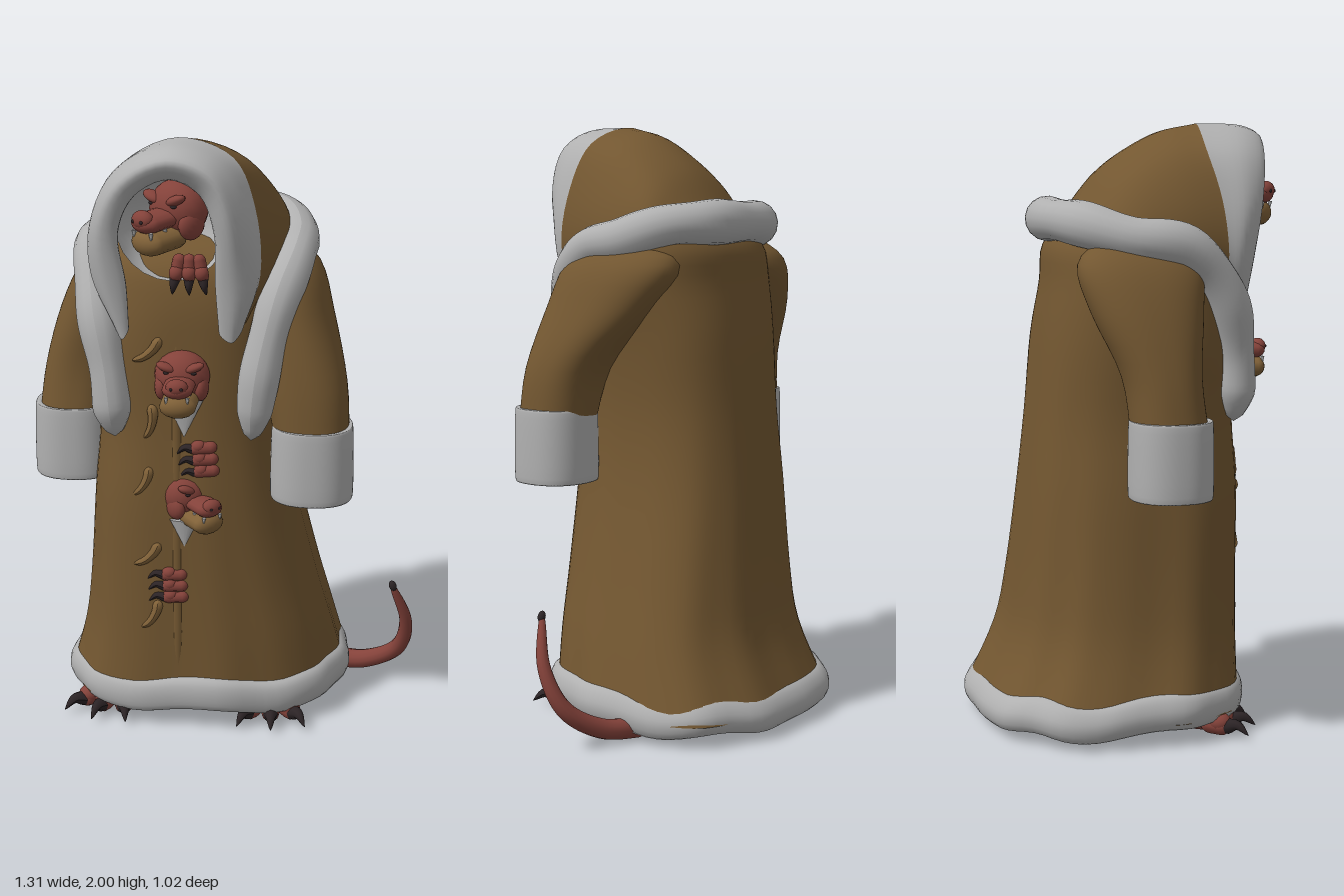
import * as THREE from 'three';

const mat = (name, color, side = THREE.FrontSide) => {
  const m = new THREE.MeshStandardMaterial({ color, side });
  m.name = name;
  return m;
};
const V = (x, y, z) => new THREE.Vector3(x, y, z);

export function createModel() {
  const root = new THREE.Group();
  const cloth = mat('brown cloth', 0x735731, THREE.DoubleSide);
  const fur = mat('pale fur', 0xb0b0b0, THREE.DoubleSide);
  const skin = mat('red skin', 0x84423a);
  const horn = mat('tan horn', 0x806138);
  const claw = mat('dark claw', 0x2c2426);

  const add = (parent, name, geo, material, p = [0, 0, 0], s = [1, 1, 1], r = [0, 0, 0]) => {
    const m = new THREE.Mesh(geo, material);
    m.name = name;
    m.position.set(...p);
    m.scale.set(...s);
    m.rotation.set(...r);
    parent.add(m);
    return m;
  };
  const ball = new THREE.SphereGeometry(1, 18, 12);

  // Smooth skin over cross-sections
  const loft = (rings, closed, sub = 4) => {
    const n = rings[0].length, rows = (rings.length - 1) * sub;
    const cols = rings[0].map((_, j) =>
      new THREE.CatmullRomCurve3(rings.map(r => r[j]), false, 'catmullrom', 0.5).getPoints(rows));
    const pos = [], idx = [];
    for (let i = 0; i <= rows; i++) for (let j = 0; j < n; j++) pos.push(...cols[j][i].toArray());
    for (let i = 0; i < rows; i++) for (let j = 0; j < (closed ? n : n - 1); j++) {
      const k = (j + 1) % n, a = i * n + j, b = a + n, c = i * n + k, d = c + n;
      idx.push(a, b, c, c, b, d);
    }
    const g = new THREE.BufferGeometry();
    g.setAttribute('position', new THREE.Float32BufferAttribute(pos, 3));
    g.setIndex(idx);
    g.computeVertexNormals();
    return g;
  };

  // Rounded horizontal ring from [y, xMin, xMax, zBack, zFront];
  // skew pushes out the back-left and front-right corners
  const E = 2.3;
  const ring = ([y, x0, x1, z0, z1], fold = 0, wave = 0, skew = 0) => Array.from({ length: 72 }, (_, j) => {
    const a = j / 72 * Math.PI * 2, c = Math.cos(a), s = Math.sin(a);
    const k = 1 + fold * (Math.sin(a * 9 + 1) + 0.6 * Math.sin(a * 14)) + skew * Math.max(0, -Math.sin(2 * a)) ** 1.5;
    const pw = v => Math.sign(v) * Math.abs(v) ** (2 / E) * k;
    return V((x0 + x1) / 2 + pw(c) * (x1 - x0) / 2,
      y + wave * (Math.sin(a * 5) + 0.6 * Math.sin(a * 8 + 2) + 2 * s),
      (z0 + z1) / 2 + pw(s) * (z1 - z0) / 2);
  });

  // Tapered tube along a path
  const taper = (pts, radius, seg = 40, rad = 12) => {
    const curve = new THREE.CatmullRomCurve3(pts.map(p => V(...p)));
    const g = new THREE.TubeGeometry(curve, seg, 1, rad, false);
    const p = g.attributes.position, v = V(0, 0, 0);
    for (let i = 0; i < p.count; i++) {
      const t = Math.floor(i / (rad + 1)) / seg, c = curve.getPointAt(t);
      v.fromBufferAttribute(p, i).sub(c).multiplyScalar(radius(t)).add(c);
      p.setXYZ(i, v.x, v.y, v.z);
    }
    g.computeVertexNormals();
    return g;
  };
  const blunt = (t, k = 25) => Math.sqrt(Math.max(0, Math.min(1, t * k, (1 - t) * k)));

  // Robe
  const body = [
    [0.08, -0.535, 0.415, -0.49, 0.36], [0.3, -0.475, 0.36, -0.395, 0.36], [0.5, -0.45, 0.305, -0.36, 0.36],
    [0.8, -0.43, 0.235, -0.33, 0.36], [1.05, -0.41, 0.21, -0.305, 0.345], [1.3, -0.43, 0.23, -0.28, 0.34],
    [1.48, -0.44, 0.27, -0.255, 0.335], [1.6, -0.41, 0.265, -0.24, 0.30], [1.67, -0.33, 0.2, -0.16, 0.2],
    [1.69, -0.07, -0.07, 0.02, 0.02]];
  add(root, 'robe', loft(body.map(b =>
    ring(b, 0.014 * Math.max(0, 1 - b[0] / 1.3), 0, b[0] < 1.4 ? 0.1 : 0.03)), true), cloth);
  const frontZ = (x, y) => {
    let i = 0;
    while (i < body.length - 2 && body[i + 1][0] < y) i++;
    const [, x0, x1, z0, z1] = body[i].map((v, k) =>
      THREE.MathUtils.lerp(v, body[i + 1][k], (y - body[i][0]) / (body[i + 1][0] - body[i][0])));
    const u = Math.abs((x - (x0 + x1) / 2) / ((x1 - x0) / 2));
    return (z0 + z1) / 2 + (z1 - z0) / 2 * Math.max(0, 1 - u ** E) ** (1 / E);
  };

  // Front seam fold
  const seam = [0.1, 0.4, 0.7, 1, 1.3, 1.56].map(y => [-0.13, y, frontZ(-0.13, y) - 0.016]);
  add(root, 'frontSeam', taper(seam, t => 0.022 * blunt(t, 6)), cloth);

  // Fur hem, closed underneath
  const hem = [
    [0.055, -0.06, -0.06, -0.05, -0.05], [0.055, -0.48, 0.37, -0.43, 0.32], [0.05, -0.53, 0.415, -0.49, 0.375],
    [0.1, -0.548, 0.43, -0.505, 0.39], [0.15, -0.53, 0.41, -0.475, 0.38], [0.172, -0.49, 0.37, -0.42, 0.34]];
  add(root, 'furHem', loft(hem.map((h, i) => ring(h, i ? 0.011 : 0, i ? 0.008 : 0, 0.06)), true), fur);

  // Sleeves and cuffs: rows are [y, centre x, centre z, radius x, radius z]
  const tubeRing = ([y, x, z, a, b]) => ring([y, x - a, x + a, z - b, z + b]);
  const arms = [
    ['right', -0.515, 0.05, [[1.2, -0.48, 0.03, 0.13, 0.125], [1.4, -0.42, 0.0, 0.135, 0.18],
      [1.55, -0.36, -0.01, 0.12, 0.2], [1.64, -0.31, -0.01, 0.06, 0.1]]],
    ['left', 0.305, 0.235, [[1.2, 0.28, 0.2, 0.135, 0.14], [1.4, 0.23, 0.095, 0.135, 0.205],
      [1.55, 0.19, 0.03, 0.125, 0.22], [1.65, 0.15, 0.03, 0.06, 0.1]]]];
  for (const [side, x, z, upper] of arms) {
    add(root, side + 'Sleeve', loft([[1.0, x, z, 0.122, 0.122], ...upper].map(tubeRing), true), cloth);
    const cuff = [[0.96, x, z, 0, 0], [0.95, x, z, 0.108, 0.108], [0.85, x, z, 0.115, 0.115],
      [0.825, x, z, 0.128, 0.124], [0.84, x, z, 0.137, 0.133], [1.04, x, z, 0.134, 0.132],
      [1.068, x, z, 0.125, 0.125], [1.06, x, z, 0.1, 0.1]];
    add(root, side + 'Cuff', loft(cuff.map(tubeRing), true), fur);
  }

  // Fur collar with hanging lapels
  add(root, 'furCollar', taper([
    [-0.335, 1.03, 0.32], [-0.355, 1.25, 0.32], [-0.395, 1.45, 0.27], [-0.42, 1.6, 0.14], [-0.395, 1.635, -0.04],
    [-0.28, 1.675, -0.17], [-0.08, 1.685, -0.22], [0.09, 1.685, -0.205], [0.185, 1.675, -0.13],
    [0.235, 1.63, 0.0], [0.235, 1.6, 0.14], [0.185, 1.47, 0.27], [0.14, 1.27, 0.315], [0.11, 1.03, 0.32]],
  t => blunt(t) * (0.06 + 0.012 * Math.sin(t * Math.PI) + 0.004 * Math.sin(t * 50)), 110, 16), fur);

  // Hood: arches from tip to tip, back to front
  const arch = a => new THREE.CatmullRomCurve3(a.map(p => V(...p))).getPoints(40);
  const edge = arch([[-0.32, 1.42, 0.29], [-0.395, 1.58, 0.28], [-0.385, 1.75, 0.26], [-0.31, 1.91, 0.23],
    [-0.13, 2.0, 0.25], [0.05, 1.945, 0.29], [0.12, 1.8, 0.325], [0.14, 1.59, 0.35], [0.085, 1.42, 0.325]]);
  add(root, 'hood', loft([
    arch([[-0.27, 1.5, -0.14], [-0.3, 1.58, -0.16], [-0.27, 1.64, -0.16], [-0.18, 1.69, -0.16],
      [-0.05, 1.72, -0.16], [0.08, 1.7, -0.16], [0.15, 1.65, -0.15], [0.2, 1.6, -0.15], [0.18, 1.5, -0.14]]),
    arch([[-0.3, 1.5, -0.04], [-0.37, 1.6, -0.05], [-0.34, 1.7, -0.05], [-0.25, 1.8, -0.05],
      [-0.07, 1.86, -0.05], [0.1, 1.82, -0.05], [0.19, 1.73, -0.05], [0.22, 1.62, -0.05], [0.2, 1.5, -0.04]]),
    arch([[-0.33, 1.45, 0.12], [-0.395, 1.6, 0.12], [-0.365, 1.76, 0.12], [-0.27, 1.9, 0.11],
      [-0.1, 1.965, 0.11], [0.08, 1.91, 0.11], [0.17, 1.78, 0.12], [0.21, 1.61, 0.12], [0.16, 1.45, 0.12]]),
    edge], false, 6), cloth);
  add(root, 'hoodFur', loft([
    edge,
    arch([[-0.32, 1.39, 0.33], [-0.4, 1.57, 0.33], [-0.4, 1.74, 0.34], [-0.32, 1.905, 0.355],
      [-0.14, 1.995, 0.4], [0.01, 1.95, 0.41], [0.095, 1.8, 0.41], [0.125, 1.57, 0.385], [0.08, 1.4, 0.35]]),
    arch([[-0.3, 1.37, 0.36], [-0.35, 1.56, 0.38], [-0.36, 1.74, 0.405], [-0.29, 1.88, 0.435],
      [-0.14, 1.955, 0.47], [-0.01, 1.91, 0.475], [0.05, 1.77, 0.465], [0.06, 1.56, 0.41], [0.05, 1.37, 0.37]]),
    arch([[-0.28, 1.4, 0.35], [-0.285, 1.55, 0.36], [-0.305, 1.72, 0.385], [-0.25, 1.84, 0.4],
      [-0.14, 1.895, 0.41], [-0.045, 1.85, 0.41], [0, 1.73, 0.41], [0, 1.57, 0.38], [0.01, 1.4, 0.36]]),
    arch([[-0.29, 1.42, 0.3], [-0.32, 1.56, 0.29], [-0.33, 1.73, 0.29], [-0.26, 1.86, 0.3],
      [-0.14, 1.92, 0.3], [-0.03, 1.87, 0.3], [0.03, 1.75, 0.3], [0.04, 1.57, 0.3], [0.04, 1.42, 0.3]])],
  false, 5), fur);
  const dome = new THREE.SphereGeometry(1, 24, 10, 0, Math.PI * 2, 0, Math.PI / 2).rotateX(-Math.PI / 2);
  add(root, 'hoodLining', dome, fur, [-0.14, 1.74, 0.34], [0.18, 0.18, 0.2]);

  // Rat-like heads, facing +z before turning
  const head = (name, p, yaw, s, pitch = 0) => {
    const g = new THREE.Group();
    g.name = name;
    g.position.set(...p);
    g.rotation.set(pitch, yaw, 0, 'YXZ');
    g.scale.setScalar(s);
    root.add(g);
    add(g, 'skull', ball, skin, [0, 0.018, -0.015], [0.09, 0.082, 0.075]);
    add(g, 'muzzle', new THREE.CapsuleGeometry(0.036, 0.08, 6, 14).rotateX(Math.PI / 2), skin,
      [0, 0.006, 0.068], [1.4, 0.8, 1]);
    add(g, 'nose', ball, skin, [0, 0.018, 0.122], [0.036, 0.027, 0.026]);
    add(g, 'jaw', new THREE.CapsuleGeometry(0.034, 0.08, 6, 14).rotateX(Math.PI / 2), horn,
      [0, -0.05, 0.068], [1.75, 1.1, 1]);
    for (const m of [-1, 1]) {
      add(g, 'brow', ball, skin, [m * 0.045, 0.058, 0.036], [0.034, 0.014, 0.022], [0, 0, m * 0.35]);
      add(g, 'cheek', ball, skin, [m * 0.062, -0.015, 0.0], [0.026, 0.045, 0.045]);
      add(g, 'eye', ball, claw, [m * 0.044, 0.042, 0.045], [0.01, 0.005, 0.008]);
      add(g, 'nostril', ball, claw, [m * 0.016, 0.018, 0.144], [0.006, 0.005, 0.004]);
      for (const z of [0.075, 0.128])
        add(g, 'tooth', new THREE.ConeGeometry(0.007, 0.032, 6), fur, [m * 0.034, -0.03, z], [1, 1, 1], [Math.PI, 0, 0]);
    }
  };
  head('upperHead', [-0.125, 1.775, 0.36], -0.68, 1.12, 0.1);
  head('middleHead', [-0.11, 1.235, 0.36], 0, 1);
  head('lowerHead', [-0.09, 0.82, 0.32], 0.75, 0.95, 0.08);

  // Fur showing through the openings under the heads
  for (const [y, s] of [[1.11, 0.066], [0.715, 0.048]])
    add(root, 'furTuft', new THREE.ConeGeometry(1, 2, 16), fur, [-0.105, y, frontZ(-0.1, y) + 0.004],
      [s, s, 0.02], [Math.PI, 0, 0]);

  // Finger or toe along +z with a claw at its end
  const digit = (parent, x, y, r, len, yaw) => {
    const g = new THREE.Group();
    g.name = 'clawedDigit';
    g.position.set(x, y, 0);
    g.rotation.y = yaw;
    parent.add(g);
    add(g, 'digit', new THREE.CapsuleGeometry(r, len, 4, 10).rotateX(Math.PI / 2), skin, [0, 0, len / 2]);
    add(g, 'knuckle', ball, skin, [0, r * 0.35, len * 0.8], [r * 1.1, r, r * 1.2]);
    add(g, 'claw', taper([[0, 0, len + r * 0.5], [0, r * 0.3, len + r * 1.7], [0, -r * 0.6, len + r * 3]],
      t => r * 0.8 * (1 - t) ** 0.8 + 0.0008, 8, 8), claw);
  };
  const hand = (name, p, dir) => {
    const g = new THREE.Group();
    g.name = name;
    g.position.set(...p);
    g.lookAt(V(...p).add(V(...dir)));
    root.add(g);
    const across = dir[0] ? 1 : 0;
    for (const i of [-1, 0, 1])
      digit(g, across ? 0 : i * 0.032, across ? i * 0.04 : 0, 0.021, 0.05, across ? 0 : i * 0.2);
  };
  hand('upperHand', [-0.085, 1.63, 0.345], [0, -1, 0.1]);
  hand('middleHand', [-0.015, 0.97, 0.34], [-1, -0.1, 0.1]);
  hand('lowerHand', [-0.115, 0.525, 0.355], [-1, -0.05, 0.05]);

  // Feet
  for (const [name, x, z, yaw] of [['rightFoot', -0.385, 0.23, -0.3], ['leftFoot', 0.175, 0.245, 0.08]]) {
    const g = new THREE.Group();
    g.name = name;
    g.position.set(x, 0.04, z);
    g.rotation.y = yaw;
    root.add(g);
    add(g, 'sole', taper([[0, 0.004, -0.24], [0, 0.004, -0.12], [0, 0, 0], [0, 0, 0.04]],
      t => (0.028 + 0.03 * t) * blunt(t, 8), 24), skin, [0, 0, 0], [1.1, 0.65, 1]);
    for (const i of [-1, 0, 1]) digit(g, i * 0.048, 0, 0.032, i ? 0.045 : 0.055, i * 0.5);
  }

  // Tail
  const tail = [[0.28, 0.045, -0.175], [0.38, 0.045, -0.15], [0.49, 0.06, -0.11], [0.605, 0.14, -0.05],
    [0.632, 0.27, 0.01], [0.58, 0.43, 0.065]];
  add(root, 'tail', taper(tail, t => (0.034 * (1 - t) ** 0.5 + 0.005) * Math.min(1, 0.4 + t * 5)), skin);
  add(root, 'tailTip', ball, claw, [0.583, 0.425, 0.063], [0.013, 0.019, 0.013], [0, 0, 0.35]);

  // Horn toggles down the front
  for (const [x, y, a] of [[-0.225, 1.33, 0.5], [-0.22, 1.09, 1.15], [-0.245, 0.885, 0.85], [-0.23, 0.632, 0.55],
    [-0.22, 0.415, 0.85]])
    add(root, 'toggle', taper([[-0.06, -0.008, 0], [-0.02, -0.014, 0.006], [0.025, -0.004, 0.006], [0.06, 0.018, 0]],
      t => blunt(t, 6) * (0.009 + 0.011 * t), 16, 10), horn, [x, y, frontZ(x, y) + 0.012], [1, 1, 1], [0, 0, a]);

  return root;
}
